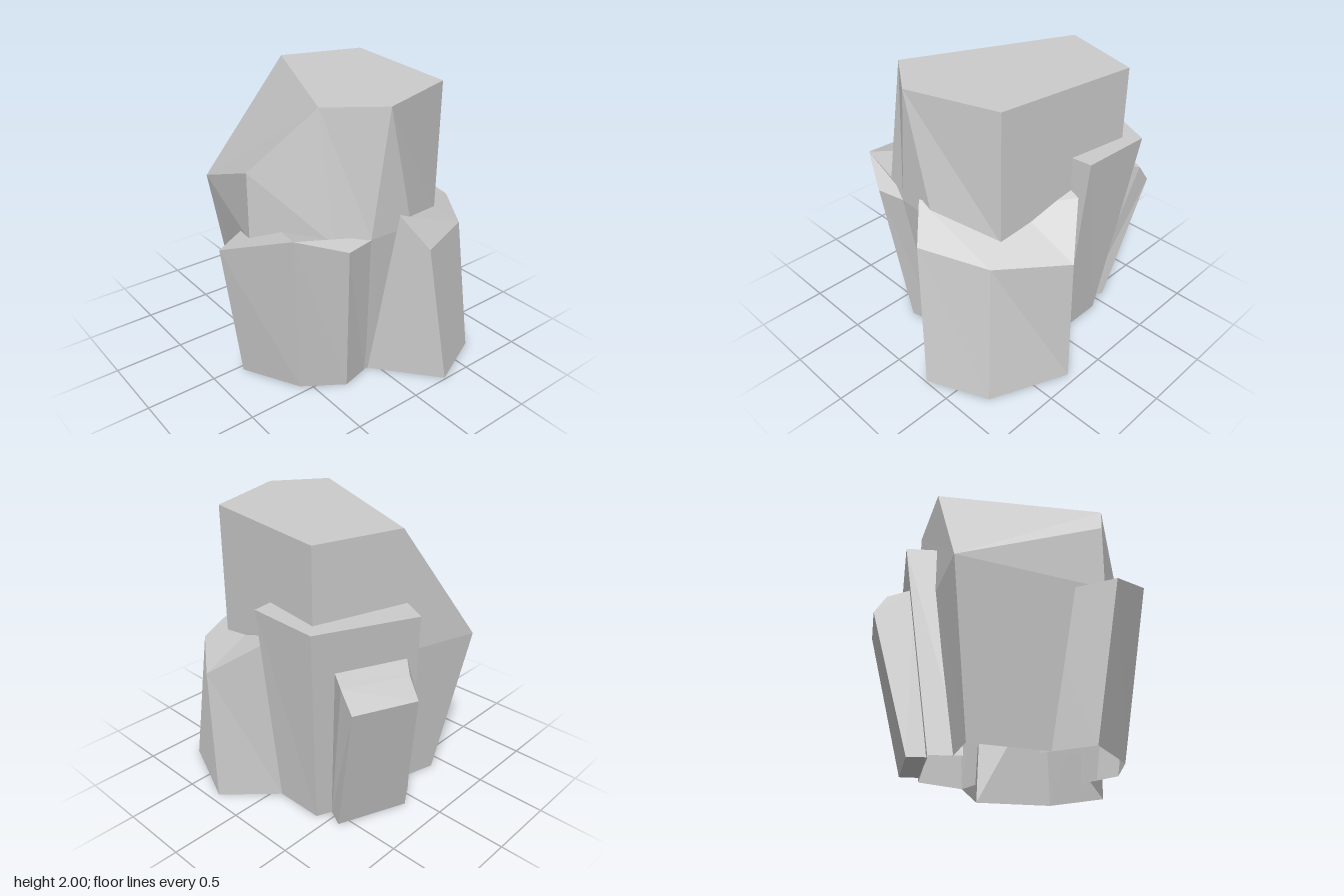
import * as THREE from 'three';

const material = new THREE.MeshStandardMaterial({
  color: 0xcccccc, flatShading: true, side: THREE.DoubleSide,
});

// Flat-shaded mesh from convex polygons, each listed counter-clockwise from outside
function facets(name, polygons) {
  const pos = [];
  for (const p of polygons) {
    for (let i = 1; i < p.length - 1; i++) pos.push(...p[0], ...p[i], ...p[i + 1]);
  }
  const geometry = new THREE.BufferGeometry();
  geometry.setAttribute('position', new THREE.Float32BufferAttribute(pos, 3));
  geometry.computeVertexNormals();
  const mesh = new THREE.Mesh(geometry, material);
  mesh.name = name;
  return mesh;
}

// Open strip of walls from an upper line of points down to [x, z] ground points
function walls(upper, ground) {
  const g = ground.map(([x, z]) => [x, 0, z]);
  return upper.slice(1).map((p, i) => [upper[i], g[i], g[i + 1], p]);
}

// Tall central rock with a flat top, a sloped shoulder and a tapering foot
function mainRock() {
  const A = [0.09, 2, -0.65], B = [0.69, 2, -0.47], C = [0.55, 2, 0.53];
  const D = [-0.08, 2, 0.73], E = [-0.43, 2, 0.48];
  const F = [-0.5, 1.15, -0.82], G = [-0.76, 1.57, 0.18];
  const midB = [0.69, 1.15, -0.47], midC = [0.55, 1.08, 0.53], midG = [-0.76, 1.1, 0.18];
  const midE = [-0.42, 1.145, 0.63], midD1 = [-0.19, 1.145, 0.71], midD2 = [0.135, 1.145, 0.73];
  const backCut = [0, 1.15, -0.675];
  return facets('mainRock', [
    [D, C, B, A, E],
    [A, F, E], [F, G, E],
    [D, midD2, midC], [D, midC, C],
    [C, midC, midB, B],
    [B, midB, F, A],
    [F, midG, G],
    [G, midG, midE], [G, midE, E],
    [E, midE, midD1], [E, midD1, D],
    [D, midD1, midD2],
    // foot, only where it is not buried in the side rocks
    ...walls([backCut, F, midG], [[-0.08, -0.545], [-0.39, -0.63], [-0.59, 0.14]]),
    ...walls([midD1, midD2], [[-0.148, 0.56], [0.05, 0.58]]),
  ]);
}

// Low rock on the -x front side
function sideRock() {
  const a = [-0.45, 1.07, -0.17], b = [-0.95, 1.07, 0.12], c = [-0.71, 1.25, 0.59];
  const d = [-0.4, 1.14, 0.75], e = [-0.12, 1.14, 0.695], inner = [-0.1, 1.1, 0.66];
  return facets('sideRock', [
    [a, b, c, inner], [c, d, e, inner],
    ...walls([a, b, c, d, e],
      [[-0.46, -0.15], [-0.78, 0.04], [-0.57, 0.44], [-0.3, 0.62], [-0.1, 0.57]]),
  ]);
}

// Wide low rock at the front corner
function frontRock() {
  const t1 = [0.02, 1.26, 0.74], r1 = [0.16, 1.03, 0.89], r2 = [0.63, 1.01, 0.7];
  const r3 = [0.94, 0.99, 0.28], t2 = [0.7, 1.23, -0.03];
  const x = [0.45, 1.2, 0.3], y = [0.5, 1.3, -0.05];
  return facets('frontRock', [
    [t1, r1, r2], [t1, r2, x], [x, r2, r3], [x, r3, t2], [x, t2, y],
    ...walls([t1, r1, r2, r3],
      [[-0.065, 0.57], [0.29, 0.99], [0.71, 0.8], [0.94, 0.26]]),
    [r3, [0.94, 0, 0.26], [0.62, 0, -0.06]], [r3, [0.62, 0, -0.06], t2],
  ]);
}

// Flat-topped slab leaning out behind
function backSlab() {
  const top = [[0.4, -0.01], [0.77, -0.045], [0.79, -0.555], [0.14, -0.85], [-0.02, -0.56]]
    .map(([x, z]) => [x, 1.5, z]);
  return facets('backSlab', [
    top,
    ...walls(top, [[0.45, -0.05], [0.62, -0.06], [0.62, -0.41], [-0.03, -0.69], [-0.14, -0.5]]),
  ]);
}

// Small chamfered shard: one profile at each end, joined by strips
function smallShard() {
  const R = [[0.61, 1.2, -0.57], [0.7, 1.17, -0.71], [0.71, 1.03, -0.81],
    [0.58, 0.005, -0.58], [0.52, 0.005, -0.46]];
  const L = [[0.15, 1.21, -0.76], [0.29, 1.17, -0.9], [0.3, 1.03, -0.985],
    [0.1, 0.005, -0.77], [0.03, 0.005, -0.655]];
  const strips = R.slice(1).map((p, i) => [R[i], p, L[i + 1], L[i]]);
  return facets('smallShard', [...strips, [...R].reverse(), L]);
}

export function createModel() {
  const group = new THREE.Group();
  group.name = 'rockCluster';
  group.add(mainRock(), sideRock(), frontRock(), backSlab(), smallShard());
  return group;
}
